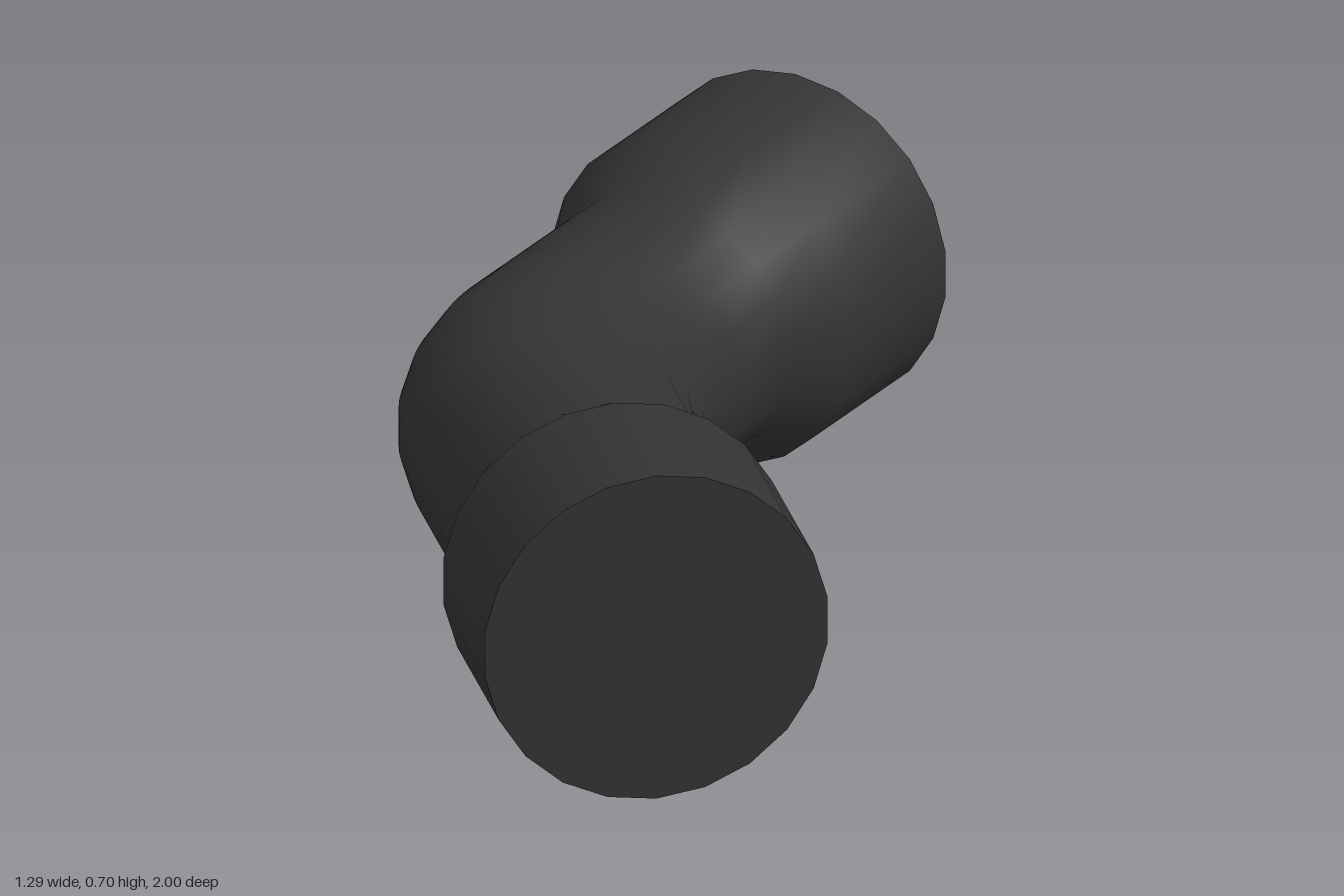
import * as THREE from 'three';

const SIDES = 22;
const CENTRE_Y = 0.35, SOCKET_R = 0.35, PIPE_R = 0.281;
const SOCKET_LEN = 0.35, TAPER_LEN = 0.14;
const BEND = Math.PI / 4, BEND_R = 0.52, BEND_STEPS = 10;

export function createModel() {
  const group = new THREE.Group();
  group.name = 'pipeElbow';
  const material = new THREE.MeshStandardMaterial({ color: 0x333333 });

  // Axis: two straight legs that meet at a corner, rounded by an arc
  const corner = new THREE.Vector3(-0.3, CENTRE_Y, -0.05);
  const frontDir = new THREE.Vector3(0, 0, 1);
  const backDir = new THREE.Vector3(Math.sin(BEND), 0, -Math.cos(BEND));
  const frontEnd = corner.clone().addScaledVector(frontDir, 1.05);
  const backEnd = corner.clone().addScaledVector(backDir, 0.993);

  // Sideways directions of the rings; the bend uses the mitre plane throughout
  const frontSide = new THREE.Vector3(1, 0, 0);
  const mitreSide = new THREE.Vector3(1, 0, Math.tan(BEND / 2));
  const backSide = new THREE.Vector3(Math.cos(BEND), 0, Math.sin(BEND));

  // Rings of one socket, from its open end inwards
  const socket = (end, dir, side) => [
    [0, SOCKET_R], [SOCKET_LEN, SOCKET_R], [SOCKET_LEN + TAPER_LEN, PIPE_R],
  ].map(([d, radius]) => ({ centre: end.clone().addScaledVector(dir, -d), side, radius }));

  const rings = socket(frontEnd, frontDir, frontSide);
  const bendStart = corner.z + BEND_R * Math.tan(BEND / 2);
  for (let i = 0; i <= BEND_STEPS; i++) {
    const t = BEND * i / BEND_STEPS;
    const centre = new THREE.Vector3(
      corner.x + BEND_R * (1 - Math.cos(t)), CENTRE_Y, bendStart - BEND_R * Math.sin(t));
    rings.push({ centre, side: mitreSide, radius: PIPE_R });
  }
  rings.push(...socket(backEnd, backDir, backSide).reverse());

  // Skin joining the rings
  const positions = [], index = [];
  rings.forEach(({ centre, side, radius }, i) => {
    for (let k = 0; k < SIDES; k++) {
      const a = k / SIDES * Math.PI * 2;
      const p = centre.clone().addScaledVector(side, radius * Math.sin(a));
      positions.push(p.x, p.y + radius * Math.cos(a), p.z);
      if (i === rings.length - 1) continue;
      const here = i * SIDES + k, next = i * SIDES + (k + 1) % SIDES;
      index.push(here, next, here + SIDES, next, next + SIDES, here + SIDES);
    }
  });
  const skin = new THREE.BufferGeometry();
  skin.setAttribute('position', new THREE.Float32BufferAttribute(positions, 3));
  skin.setIndex(index);
  skin.computeVertexNormals();
  const pipe = new THREE.Mesh(skin, material);
  pipe.name = 'pipe';
  group.add(pipe);

  // Flat end faces
  const addCap = (name, end, turn) => {
    const cap = new THREE.Mesh(new THREE.CircleGeometry(SOCKET_R, SIDES, Math.PI / 2), material);
    cap.name = name;
    cap.position.copy(end);
    cap.rotation.y = turn;
    group.add(cap);
  };
  addCap('frontCap', frontEnd, 0);
  addCap('backCap', backEnd, Math.PI - BEND);

  return group;
}
